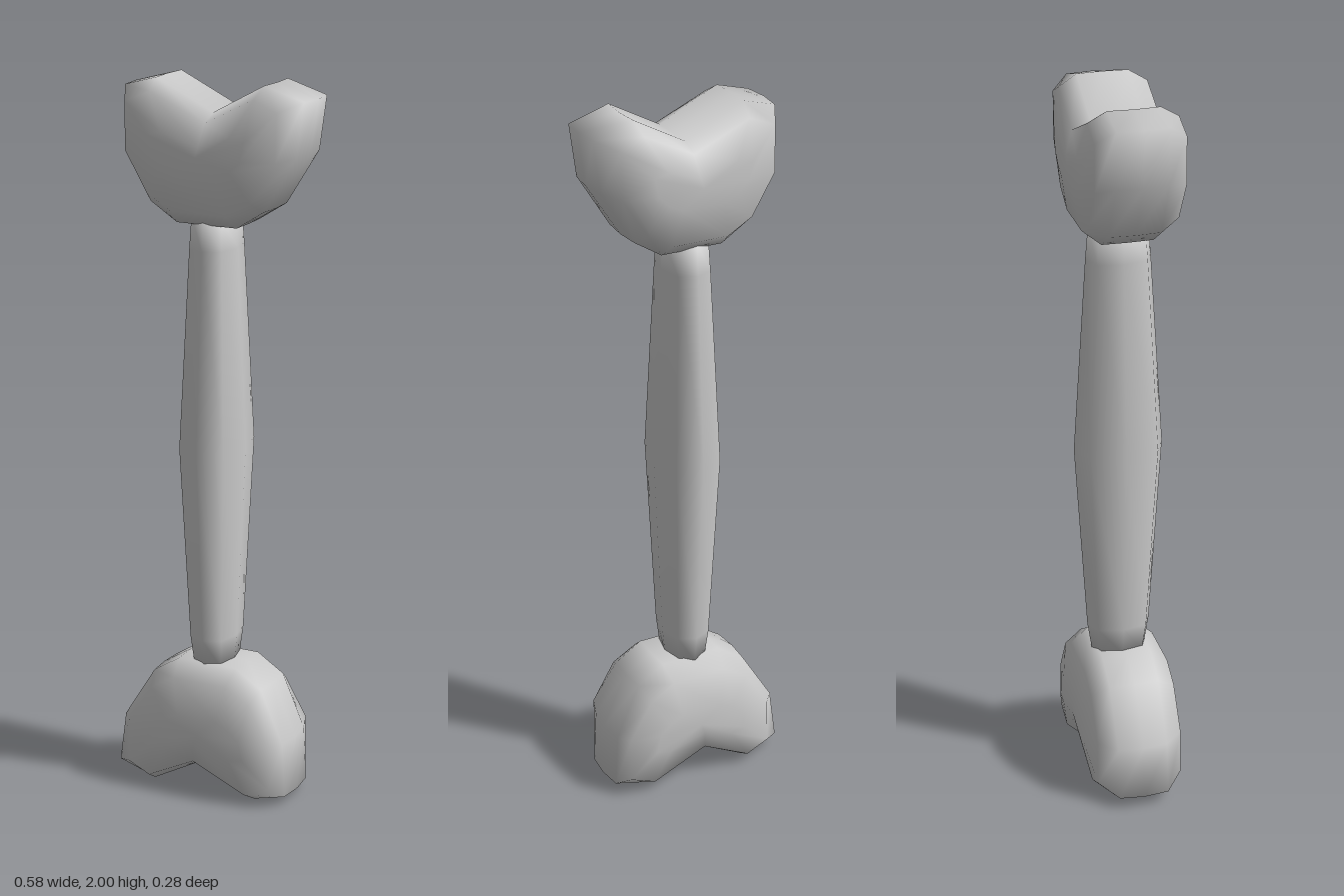
import * as THREE from 'three';

const material = new THREE.MeshStandardMaterial({ color: 0xcccccc });

// Knob outlines seen from the front (clockwise), from the middle slice out to the flat face
const RIM = [[-0.245, 1.975], [-0.15, 2], [0.02, 1.92], [0.17, 2], [0.285, 1.965], [0.265, 1.82],
  [0.17, 1.67], [0.09, 1.62], [-0.09, 1.62], [-0.17, 1.67], [-0.237, 1.82]];
const SHOULDER = [[-0.215, 1.94], [-0.14, 1.97], [0.02, 1.9], [0.16, 1.97], [0.225, 1.94], [0.222, 1.81],
  [0.15, 1.7], [0.08, 1.66], [-0.08, 1.66], [-0.15, 1.7], [-0.215, 1.81]];
const FACE = [[-0.14, 1.86], [-0.1, 1.87], [0.01, 1.84], [0.1, 1.87], [0.14, 1.86], [0.13, 1.81],
  [0.1, 1.78], [0.06, 1.76], [-0.06, 1.76], [-0.1, 1.78], [-0.13, 1.81]];

// Two-lobed knob: slices stacked from back to front, closed by fans
function knobGeometry() {
  const slices = [
    [-0.138, FACE, 1], [-0.12, SHOULDER, 1], [-0.07, RIM, 0.98], [0, RIM, 1.01],
    [0.07, RIM, 0.98], [0.12, SHOULDER, 1], [0.138, FACE, 1],
  ];
  const n = RIM.length;
  const positions = [];
  const index = [];
  for (const [z, loop, sx] of slices) {
    for (const [x, y] of loop) positions.push(x * sx, y, z);
  }
  for (let j = 0; j < slices.length - 1; j++) {
    for (let i = 0; i < n; i++) {
      const k = (i + 1) % n;
      const a = j * n + i, b = j * n + k, c = b + n, d = a + n;
      index.push(a, d, c, a, c, b);
    }
  }
  const back = slices.length * n, front = back + 1, last = back - n;
  positions.push(0, 1.81, -0.138, 0, 1.81, 0.138);
  for (let i = 0; i < n; i++) {
    const k = (i + 1) % n;
    index.push(back, i, k, front, last + k, last + i);
  }
  const geometry = new THREE.BufferGeometry();
  geometry.setAttribute('position', new THREE.Float32BufferAttribute(positions, 3));
  geometry.setIndex(index);
  geometry.computeVertexNormals();
  return geometry;
}

// Eight-sided shaft, thickest halfway up and deeper than wide
function shaftGeometry() {
  const profile = [[0, 0.37], [0.62, 0.37], [0.72, 0.45], [1, 1], [0.72, 1.55], [0.66, 1.64], [0, 1.64]]
    .map(([r, y]) => new THREE.Vector2(r, y));
  const geometry = new THREE.LatheGeometry(profile, 8);
  const p = geometry.attributes.position;
  for (let i = 0; i < p.count; i++) {
    // fuller diagonals give a slightly boxy section
    const x = p.getX(i), z = p.getZ(i);
    const diagonal = Math.abs(x) > 0.01 && Math.abs(z) > 0.01 ? 1.08 : 1;
    p.setX(i, x * 0.087 * diagonal - 0.007);
    p.setZ(i, z * 0.124 * diagonal - 0.004);
  }
  const lathed = geometry.attributes.normal;
  for (let i = 0; i < lathed.count; i++) {
    const v = new THREE.Vector3().fromBufferAttribute(lathed, i);
    v.set(v.x / 0.087, v.y, v.z / 0.124).normalize();
    lathed.setXYZ(i, v.x, v.y, v.z);
  }
  return geometry;
}

export function createModel() {
  const model = new THREE.Group();
  model.name = 'bone';

  const shaft = new THREE.Mesh(shaftGeometry(), material);
  shaft.name = 'shaft';

  const knob = knobGeometry();
  const upperKnob = new THREE.Mesh(knob, material);
  upperKnob.name = 'upperKnob';

  // Lower knob is the upper one turned half way round
  const lowerKnob = new THREE.Mesh(knob, material);
  lowerKnob.name = 'lowerKnob';
  lowerKnob.rotation.z = Math.PI;
  lowerKnob.position.y = 2;

  model.add(shaft, upperKnob, lowerKnob);
  return model;
}
